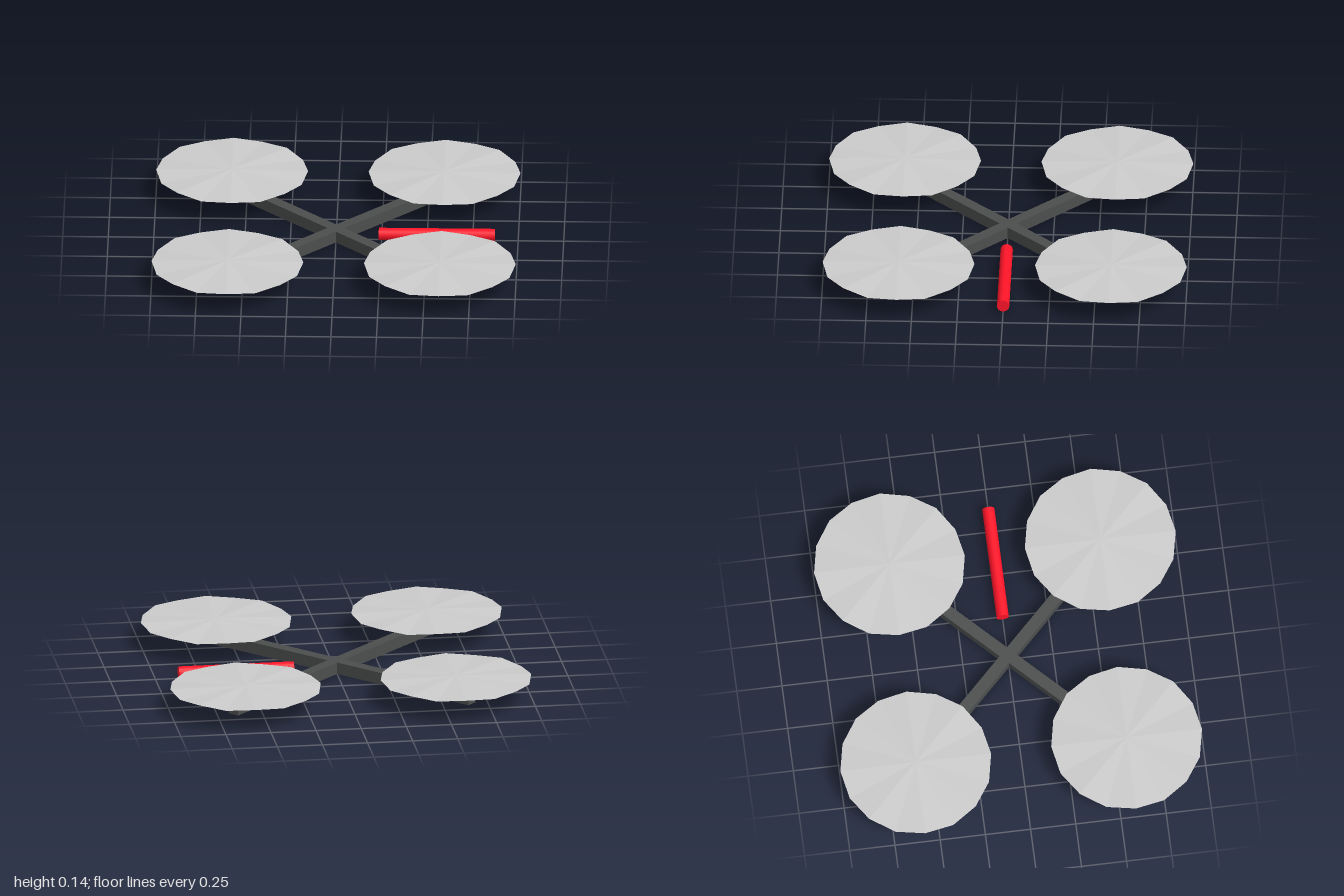
import * as THREE from 'three';

const material = (color, extra = {}) => new THREE.MeshStandardMaterial({ color, ...extra });

// Very thin double cone whose rim ripples slightly, giving alternating facets
function rotorGeometry(radius, sides, apex, ripple) {
  const positions = [];
  const rim = (k) => {
    const a = (k / sides) * Math.PI * 2;
    return [Math.sin(a) * radius, k % 2 ? -ripple : ripple, Math.cos(a) * radius];
  };
  for (let k = 0; k < sides; k++) {
    positions.push(0, apex, 0, ...rim(k), ...rim(k + 1));
    positions.push(0, -apex, 0, ...rim(k + 1), ...rim(k));
  }
  const geometry = new THREE.BufferGeometry();
  geometry.setAttribute('position', new THREE.Float32BufferAttribute(positions, 3));
  geometry.computeVertexNormals();
  return geometry;
}

export function createModel() {
  const model = new THREE.Group();
  const add = (name, geometry, mat, x, y, z) => {
    const mesh = new THREE.Mesh(geometry, mat);
    mesh.name = name;
    mesh.position.set(x, y, z);
    model.add(mesh);
    return mesh;
  };

  // Two crossed square beams
  const dark = material(0x4c4e4e);
  const beam = new THREE.BoxGeometry(1.87, 0.066, 0.066);
  for (const side of [-1, 1]) {
    add(side < 0 ? 'armBeamA' : 'armBeamB', beam, dark, 0, 0.035, 0).rotation.y = side * Math.PI / 4;
  }

  // Four rotor discs above the beam ends
  const grey = material(0xcccccc, { flatShading: true });
  const rotor = rotorGeometry(0.417, 16, 0.013, 0.004);
  for (const x of [-1, 1]) {
    for (const z of [-1, 1]) {
      add(`${z > 0 ? 'front' : 'back'}${x > 0 ? 'Left' : 'Right'}Rotor`, rotor, grey, x * 0.583, 0.131, z * 0.583);
    }
  }

  // Red direction rod pointing to the left
  const rod = new THREE.CylinderGeometry(0.034, 0.034, 0.638, 16);
  add('directionRod', rod, material(0xff1428), 0.554, 0.035, 0).rotation.z = -Math.PI / 2;

  return model;
}
